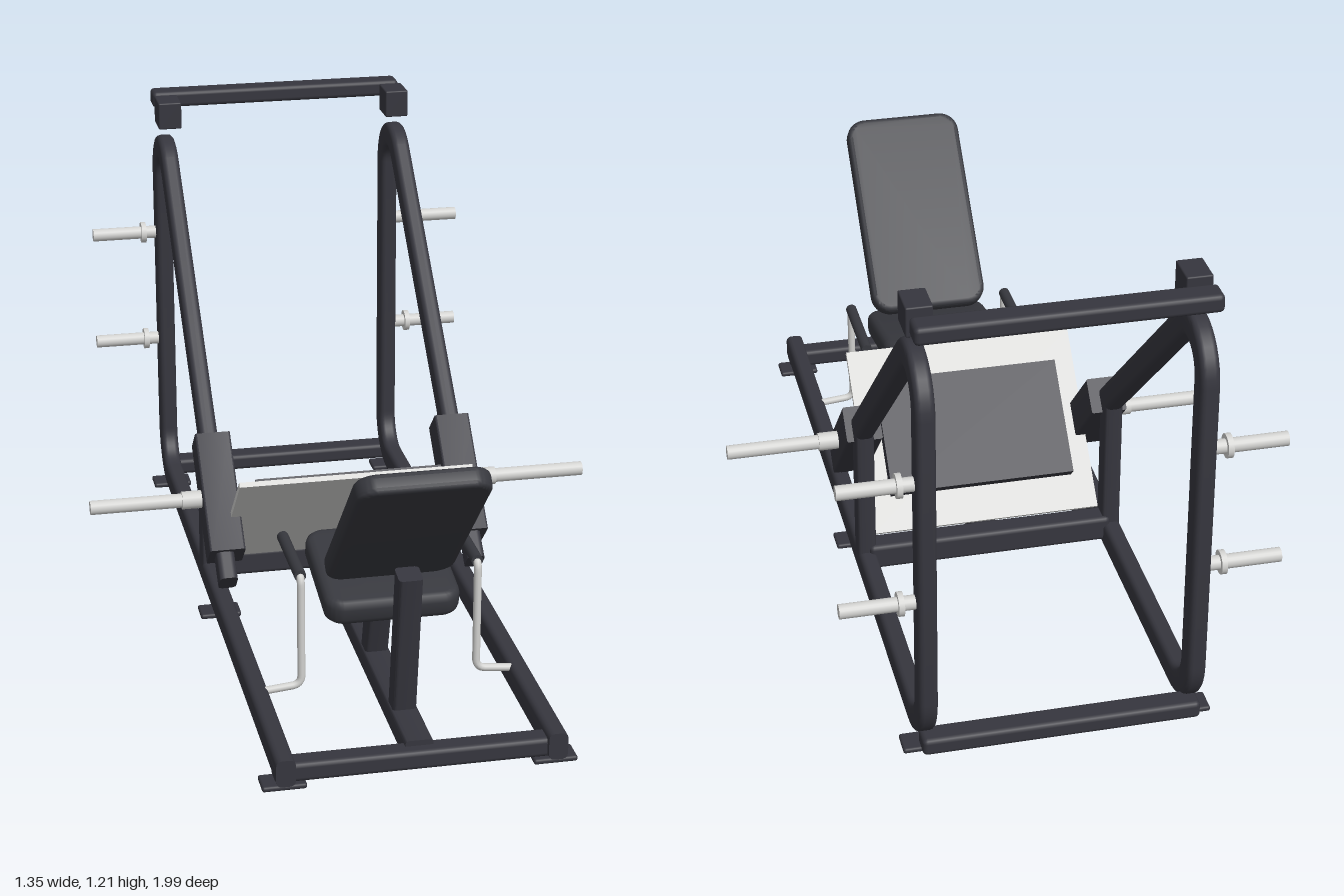
import * as THREE from 'three';
import { toCreasedNormals } from 'three/addons/utils/BufferGeometryUtils.js';
import { RoundedBoxGeometry } from 'three/addons/geometries/RoundedBoxGeometry.js';

const material = (name, color) => {
  const m = new THREE.MeshStandardMaterial({ color });
  m.name = name;
  return m;
};

// Sweeps a rounded-rectangle tube along [z, y] points in a plane of constant x
function sweep(path, width, height, r) {
  const ring = [];
  const corners = [[1, 1], [-1, 1], [-1, -1], [1, -1]];
  corners.forEach(([sx, sy], c) => {
    for (let k = 0; k <= 3; k++) {
      const a = (c + k / 3) * Math.PI / 2;
      ring.push([sx * (width / 2 - r) + r * Math.cos(a), sy * (height / 2 - r) + r * Math.sin(a)]);
    }
  });
  const n = ring.length, last = path.length - 1;
  const pos = [], index = [];
  path.forEach(([z, y], i) => {
    const p = path[Math.max(i - 1, 0)], q = path[Math.min(i + 1, last)];
    const len = Math.hypot(q[0] - p[0], q[1] - p[1]);
    const tz = (q[0] - p[0]) / len, ty = (q[1] - p[1]) / len;
    ring.forEach(([a, b]) => pos.push(a, y + b * tz, z - b * ty));
  });
  for (let i = 0; i < last; i++) {
    for (let j = 0; j < n; j++) {
      const a = i * n + j, b = i * n + (j + 1) % n;
      index.push(a, b, b + n, a, b + n, a + n);
    }
  }
  for (let j = 1; j < n - 1; j++) {
    index.push(0, j + 1, j, last * n, last * n + j, last * n + j + 1);
  }
  const g = new THREE.BufferGeometry();
  g.setAttribute('position', new THREE.Float32BufferAttribute(pos, 3));
  g.setIndex(index);
  return toCreasedNormals(g, 0.6);
}

// Cushion: rounded rectangle with softened edges, centred on the origin
function cushion(width, length, thick, corner, bevel) {
  const w = width / 2 - bevel, h = length / 2 - bevel, r = corner;
  const s = new THREE.Shape();
  s.absarc(w - r, h - r, r, 0, Math.PI / 2);
  s.absarc(-w + r, h - r, r, Math.PI / 2, Math.PI);
  s.absarc(-w + r, -h + r, r, Math.PI, Math.PI * 1.5);
  s.absarc(w - r, -h + r, r, Math.PI * 1.5, Math.PI * 2);
  const g = new THREE.ExtrudeGeometry(s, {
    depth: thick - 2 * bevel, bevelSize: bevel, bevelThickness: bevel, bevelSegments: 3, curveSegments: 6,
  });
  g.center();
  return toCreasedNormals(g, 0.6);
}

export function createModel() {
  const model = new THREE.Group();
  model.name = 'legPressMachine';
  const frame = material('charcoal frame', 0x36363e);
  const pad = material('dark upholstery', 0x37383e);
  const steel = material('bright steel', 0xd2d2d0);

  const add = (name, geometry, mat, x = 0, y = 0, z = 0) => {
    const m = new THREE.Mesh(geometry, mat);
    m.name = name;
    m.position.set(x, y, z);
    model.add(m);
    return m;
  };
  const box = (name, mat, w, h, d, x, y, z, r = 0.012) =>
    add(name, new RoundedBoxGeometry(w, h, d, 2, r), mat, x, y, z);
  const beam = (name, x, a, b, w, h, r = 0.01) => add(name, sweep([a, b], w, h, r), frame, x);
  const rod = (name, x0, x1, y, z, r, s) => {
    const m = add(name, new THREE.CylinderGeometry(r, r, x1 - x0, 20), steel, s * (x0 + x1) / 2, y, z);
    m.rotation.z = Math.PI / 2;
  };

  // Side frame centreline: floor rail, rear bend, upright, top bend, sloping rail
  const path = [[0.985, 0.055]];
  const arc = (cz, cy, r, from, to) => {
    for (let i = 0; i <= 12; i++) {
      const a = from + (to - from) * i / 12;
      path.push([cz + r * Math.cos(a), cy + r * Math.sin(a)]);
    }
  };
  arc(-0.845, 0.175, 0.12, -Math.PI / 2, -Math.PI);
  arc(-0.865, 0.965, 0.1, Math.PI, 0.828);
  path.push([0.147, 0.164]);
  const sideFrame = sweep(path, 0.048, 0.07, 0.014);

  for (const s of [-1, 1]) {
    const x = 0.335 * s;
    add('sideFrame', sideFrame, frame, x);
    beam('railPost', x, [-0.177, 0.07], [-0.177, 0.47], 0.048, 0.064);
    box('topBlock', frame, 0.065, 0.076, 0.09, 0.328 * s, 1.173, -0.855, 0.004);

    // Floor pads
    for (const z of [0.935, -0.012, -0.92]) {
      box('footPad', frame, 0.11, 0.014, 0.068, x, 0.007, z, 0.006);
    }

    // Sliding carriage and its weight horn
    beam('carriageSleeve', 0.33 * s, [-0.145, 0.456], [0.09, 0.216], 0.095, 0.095, 0.005);
    rod('carriageHornBase', 0.36, 0.43, 0.337, -0.022, 0.024, s);
    rod('carriageHorn', 0.42, 0.675, 0.337, -0.022, 0.019, s);

    // Plate storage horns on the upright
    for (const y of [0.785, 0.455]) {
      rod('storageHorn', 0.355, 0.542, y, -0.962, 0.018, s);
      rod('storageCollar', 0.388, 0.402, y, -0.962, 0.03, s);
    }

    // Bent handle with grip
    const v = (a, y, z) => new THREE.Vector3(a * s, y, z);
    const bend = new THREE.CurvePath();
    bend.add(new THREE.LineCurve3(v(0.32, 0.078, 0.602), v(0.25, 0.085, 0.602)));
    bend.add(new THREE.QuadraticBezierCurve3(v(0.25, 0.085, 0.602), v(0.225, 0.087, 0.602), v(0.225, 0.112, 0.602)));
    bend.add(new THREE.LineCurve3(v(0.225, 0.112, 0.602), v(0.225, 0.36, 0.602)));
    bend.add(new THREE.QuadraticBezierCurve3(v(0.225, 0.36, 0.602), v(0.225, 0.382, 0.602), v(0.225, 0.382, 0.58)));
    add('handleRod', new THREE.TubeGeometry(bend, 48, 0.01, 10), steel);
    const grip = add('handleGrip', new THREE.CylinderGeometry(0.015, 0.015, 0.24, 16), pad, 0.225 * s, 0.382, 0.475);
    grip.rotation.x = Math.PI / 2;
  }

  // Cross members and central spine
  box('frontCrossbar', frame, 0.72, 0.05, 0.06, 0, 0.046, 0.942);
  box('middleCrossbar', frame, 0.66, 0.07, 0.066, 0, 0.075, -0.185);
  box('rearCrossbar', frame, 0.7, 0.046, 0.066, 0, 0.042, -0.965);
  box('topCrossbar', frame, 0.72, 0.046, 0.066, 0, 1.187, -0.965);
  beam('spine', 0, [0.94, 0.055], [-0.18, 0.055], 0.07, 0.06);

  // Seat supports
  beam('backrestPost', 0, [0.75, 0.075], [0.81, 0.466], 0.06, 0.062);
  beam('seatPost', 0, [0.425, 0.075], [0.49, 0.29], 0.06, 0.062);

  // Padding
  const back = add('backrest', cushion(0.328, 0.585, 0.052, 0.04, 0.014), pad, 0, 0.578, 0.772);
  back.rotation.x = Math.PI / 4;
  const seat = add('seat', cushion(0.344, 0.335, 0.068, 0.03, 0.02), pad, 0, 0.33, 0.503);
  seat.rotation.x = -1.374;

  // Foot plate and its backing box
  const plate = add('footPlate', new THREE.BoxGeometry(0.62, 0.506, 0.014), steel, 0, 0.288, 0.025);
  const backing = add('plateBacking', new THREE.BoxGeometry(0.5, 0.315, 0.04), frame, 0, 0.309, 0.003);
  plate.rotation.x = backing.rotation.x = Math.PI / 4;

  return model;
}
